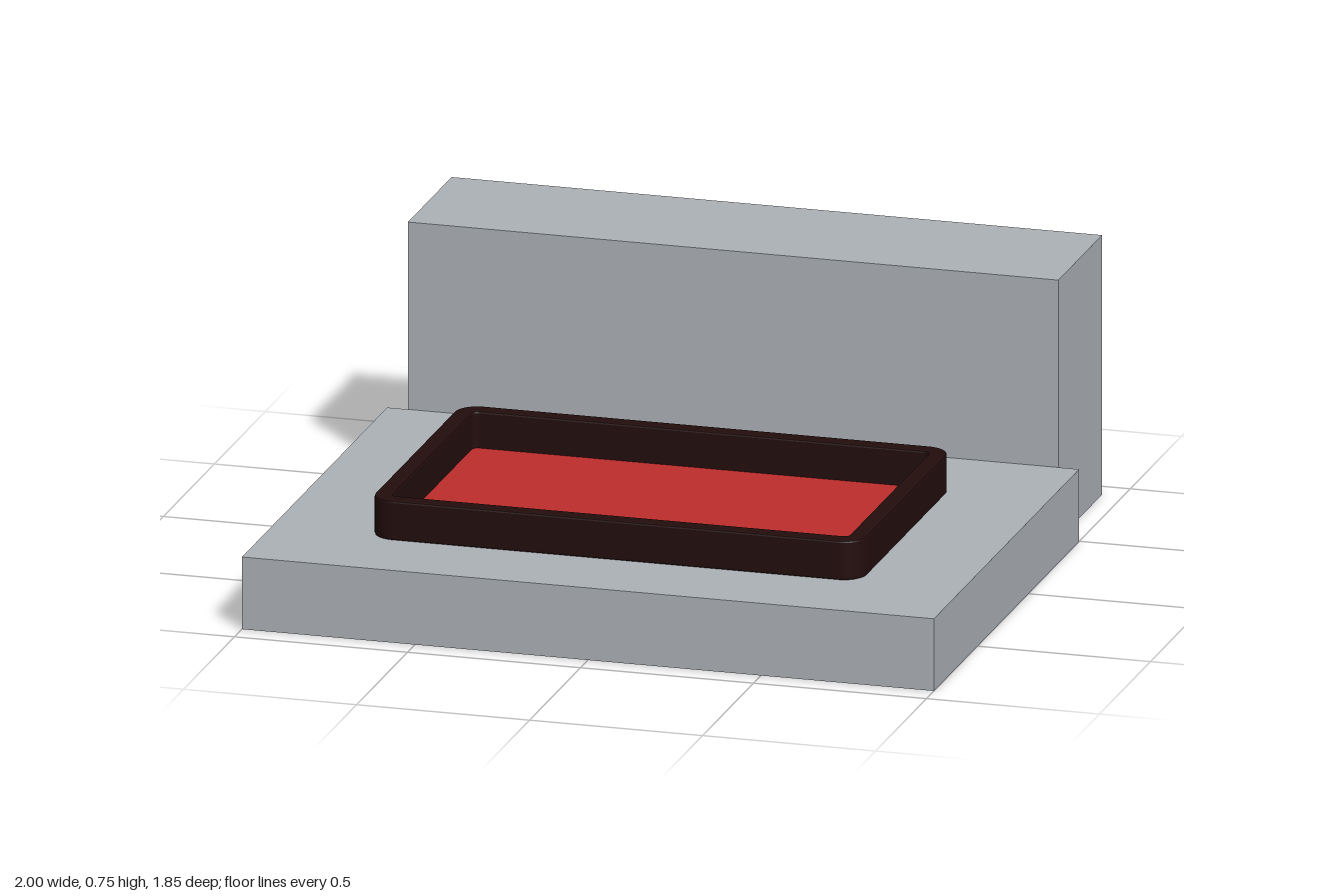
import * as THREE from 'three';

const grey = new THREE.MeshStandardMaterial({ name: 'stone grey', color: 0xadb2b8 });
const dark = new THREE.MeshStandardMaterial({ name: 'dark maroon', color: 0x240d0d });
const red = new THREE.MeshStandardMaterial({ name: 'red', color: 0xbe2d2d });

// Rounded rectangle outline centred on the origin
function roundedRect(Type, w, h, r) {
  const p = new Type(), x = w / 2, y = h / 2;
  p.moveTo(-x + r, -y);
  p.lineTo(x - r, -y);
  p.absarc(x - r, -y + r, r, -Math.PI / 2, 0);
  p.lineTo(x, y - r);
  p.absarc(x - r, y - r, r, 0, Math.PI / 2);
  p.lineTo(-x + r, y);
  p.absarc(-x + r, y - r, r, Math.PI / 2, Math.PI);
  p.lineTo(-x, -y + r);
  p.absarc(-x + r, -y + r, r, Math.PI, Math.PI * 1.5);
  return p;
}

export function createModel() {
  const model = new THREE.Group();
  model.name = 'consoleBlock';

  const add = (name, geometry, material, x, y, z) => {
    const mesh = new THREE.Mesh(geometry, material);
    mesh.name = name;
    mesh.position.set(x, y, z);
    model.add(mesh);
    return mesh;
  };

  // Low slab in front, tall block behind
  add('baseSlab', new THREE.BoxGeometry(2, 0.21, 1.425), grey, 0, 0.105, 0.2145);
  add('backBlock', new THREE.BoxGeometry(1.88, 0.755, 0.429), grey, 0, 0.3775, -0.7125);

  // Raised rim with softened edges
  const bevel = 0.006;
  const outline = roundedRect(THREE.Shape, 1.42 - 2 * bevel, 0.905 - 2 * bevel, 0.06);
  outline.holes.push(roundedRect(THREE.Path, 1.32 + 2 * bevel, 0.805 + 2 * bevel, 0.024));
  const rim = new THREE.ExtrudeGeometry(outline, {
    depth: 0.115 - 2 * bevel, bevelEnabled: true, bevelSize: bevel,
    bevelThickness: bevel, bevelSegments: 2, curveSegments: 8,
  });
  rim.rotateX(-Math.PI / 2);
  add('rim', rim, dark, 0, 0.21 + bevel, 0.2125);

  // Thin recessed panel inside the rim
  const panel = new THREE.ExtrudeGeometry(roundedRect(THREE.Shape, 1.33, 0.815, 0.02), {
    depth: 0.008, bevelEnabled: false, curveSegments: 6,
  });
  panel.rotateX(-Math.PI / 2);
  add('panel', panel, red, 0, 0.21, 0.2125);

  return model;
}
